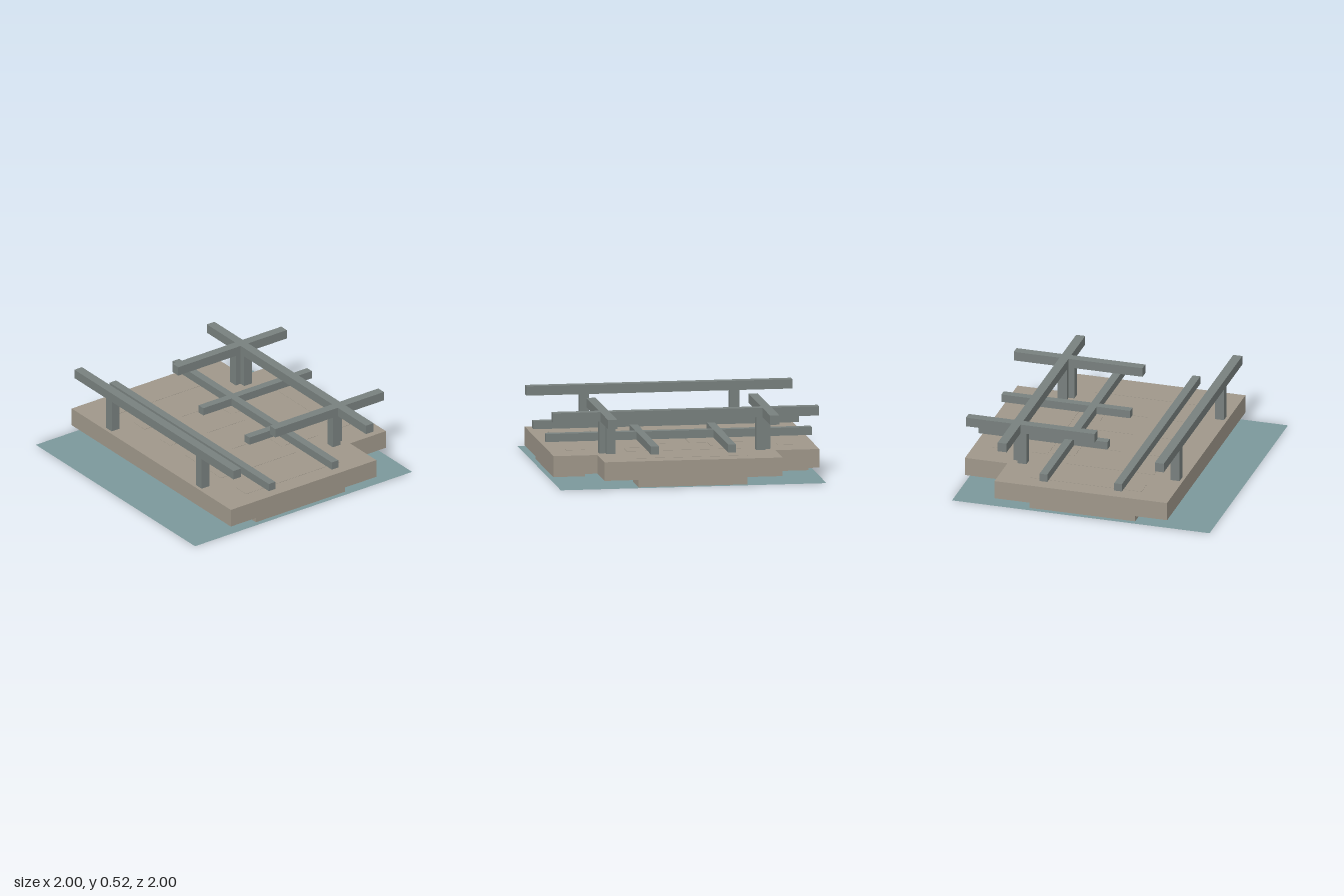
import * as THREE from 'three';

export function createModel() {
  const root = new THREE.Group();
  const mat = (name, color, side = THREE.FrontSide) => {
    const m = new THREE.MeshStandardMaterial({ color, side });
    m.name = name;
    return m;
  };
  const stone = mat('warm stone', 0x9f978a);
  const metal = mat('grey railing', 0x78807e);
  const water = mat('water', 0x7b989b, THREE.DoubleSide);

  // Box given by its limits on each axis
  const box = (name, m, [x0, x1], [y0, y1], [z0, z1], parent = root) => {
    const mesh = new THREE.Mesh(new THREE.BoxGeometry(x1 - x0, y1 - y0, z1 - z0), m);
    mesh.position.set((x0 + x1) / 2, (y0 + y1) / 2, (z0 + z1) / 2);
    mesh.name = name;
    parent.add(mesh);
    return mesh;
  };
  const span = (s, a, b) => (s > 0 ? [a, b] : [-b, -a]);

  // Water sheet
  const sheet = new THREE.Mesh(new THREE.PlaneGeometry(2, 2).rotateX(-Math.PI / 2), water);
  sheet.name = 'waterSurface';
  root.add(sheet);

  // T-shaped deck slab, drawn in plan (shape y = -z)
  const outline = [[-1, -0.67], [1, -0.67], [1, 0.67], [0.67, 0.67], [0.67, 1], [-0.67, 1], [-0.67, 0.67], [-1, 0.67]];
  const deck = new THREE.Mesh(
    new THREE.ExtrudeGeometry(new THREE.Shape(outline.map(p => new THREE.Vector2(...p))), { depth: 0.14, bevelEnabled: false }),
    stone);
  deck.rotation.x = -Math.PI / 2;
  deck.position.y = 0.062;
  deck.name = 'deck';
  root.add(deck);

  // Footings under the three open ends
  const under = [0, 0.062];
  box('backFooting', stone, [-0.41, 0.41], under, [-0.96, -0.72]);
  for (const s of [-1, 1]) box('sideFooting', stone, span(s, 0.72, 0.96), under, [-0.41, 0.41]);

  // Very thin paving slabs on the deck
  const paving = new THREE.Group();
  paving.name = 'paving';
  root.add(paving);
  const skin = [0.2, 0.204];
  for (const s of [-1, 1]) {
    box('longSlab', stone, span(s, 0.725, 0.865), skin, [-0.43, 0.43], paving);
    box('longSlab', stone, span(s, 0.41, 0.55), skin, [-0.26, 0.43], paving);
    box('longSlab', stone, span(s, 0.09, 0.225), skin, [-0.26, 0.43], paving);
    box('shortSlab', stone, span(s, 0.225, 0.41), skin, [-0.4, -0.23], paving);
    box('shortSlab', stone, span(s, 0.225, 0.41), skin, [0.09, 0.28], paving);
  }
  box('shortSlab', stone, [-0.09, 0.09], skin, [0.09, 0.28], paving);
  box('crossSlab', stone, [-0.43, 0.43], skin, [-0.87, -0.73], paving);
  box('crossSlab', stone, [-0.43, 0.43], skin, [-0.55, -0.43], paving);

  // Railings: high rails at the edges, low rails further in
  const high = [0.45, 0.52], low = [0.25, 0.31], post = [0.2, 0.45];
  for (const s of [-1, 1]) {
    box('crossHighRail', metal, [-1, 1], high, span(s, 0.575, 0.645));
    box('crossLowRail', metal, [-1, 1], low, span(s, 0.26, 0.32));
    box('backHighRail', metal, span(s, 0.575, 0.645), high, [-1, 0]);
    box('backLowRail', metal, span(s, 0.26, 0.32), low, [-1, 0]);
    for (const t of [-1, 1]) box('crossRailPost', metal, span(t, 0.53, 0.6), post, span(s, 0.575, 0.645));
    box('backRailPost', metal, span(s, 0.575, 0.645), post, [-0.6, -0.53]);
  }
  return root;
}
